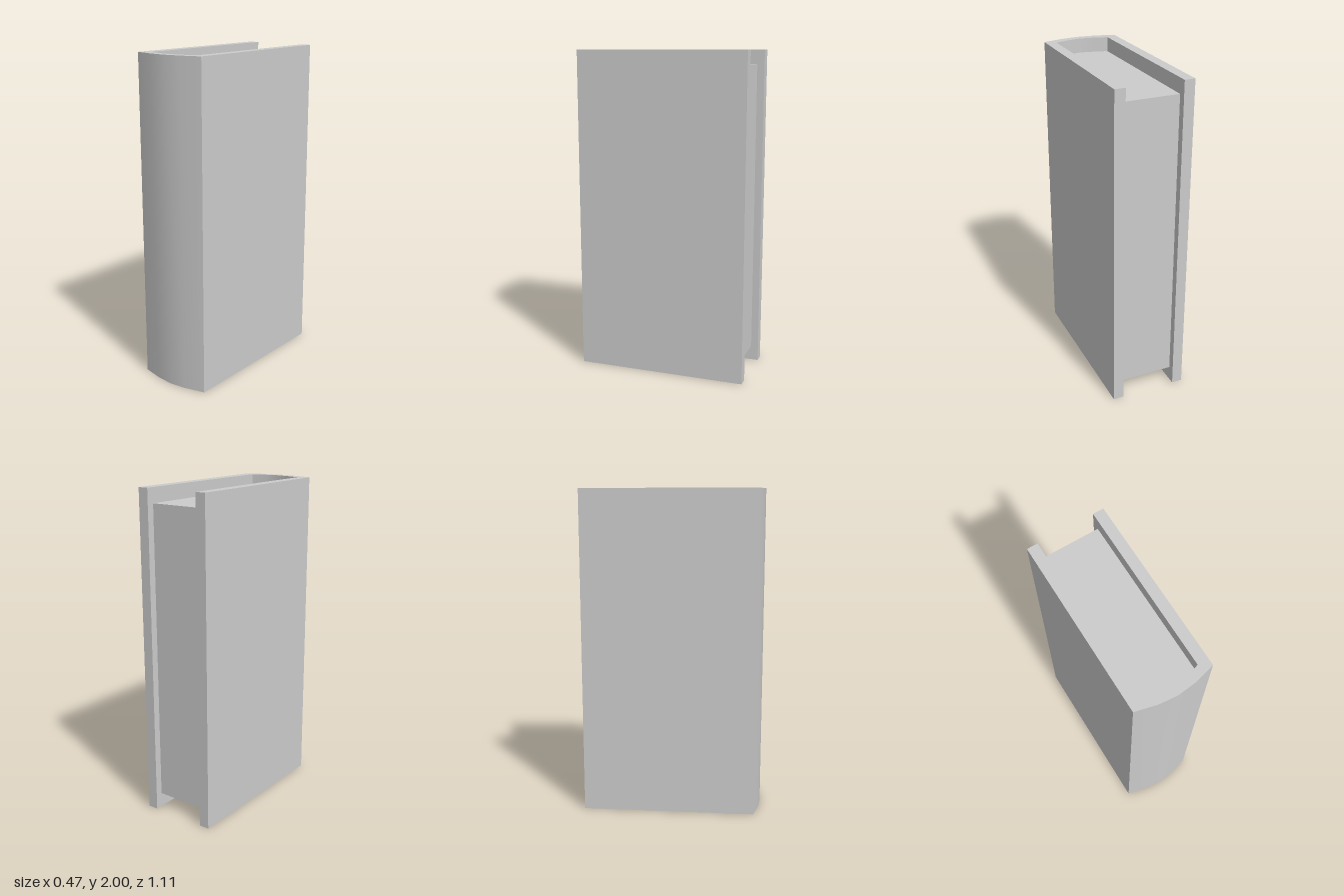
import * as THREE from 'three';
import { toCreasedNormals } from 'three/addons/utils/BufferGeometryUtils.js';

const HEIGHT = 2, INSET = 0.09;
const BACK = -0.555, PAGE_BACK = -0.51;

// Rounded spine curves as [x, z], running from -x to +x
const mirrorCurve = half => [...half.map(([x, z]) => [-x, z]), ...half.slice(0, -1).reverse()];
const outerSpine = mirrorCurve([[0.237, 0.51], [0.108, 0.542], [0, 0.553]]);
const innerSpine = mirrorCurve([[0.172, 0.468], [0.083, 0.493], [0, 0.506]]);

// Upright prism from an [x, z] outline
function prism(name, outline, y0, y1, material) {
  const shape = new THREE.Shape(outline.map(([x, z]) => new THREE.Vector2(x, -z)));
  const geometry = new THREE.ExtrudeGeometry(shape, { depth: y1 - y0, bevelEnabled: false });
  geometry.rotateX(-Math.PI / 2).translate(0, y0, 0);
  const mesh = new THREE.Mesh(toCreasedNormals(geometry, 0.6), material);
  mesh.name = name;
  return mesh;
}

export function createModel() {
  const group = new THREE.Group();
  group.name = 'book';
  const material = new THREE.MeshStandardMaterial({ color: 0xcccccc });

  // Two boards and the spine as one U-shaped wrap
  const cover = [
    [-0.237, BACK], ...outerSpine, [0.237, BACK],
    [0.172, BACK], ...[...innerSpine].reverse(), [-0.172, BACK],
  ];
  group.add(prism('cover', cover, 0, HEIGHT, material));

  // Page block, recessed at the top, bottom and open edge
  const pages = [[-0.172, PAGE_BACK], ...innerSpine, [0.172, PAGE_BACK]];
  group.add(prism('pages', pages, INSET, HEIGHT - INSET, material));

  return group;
}
